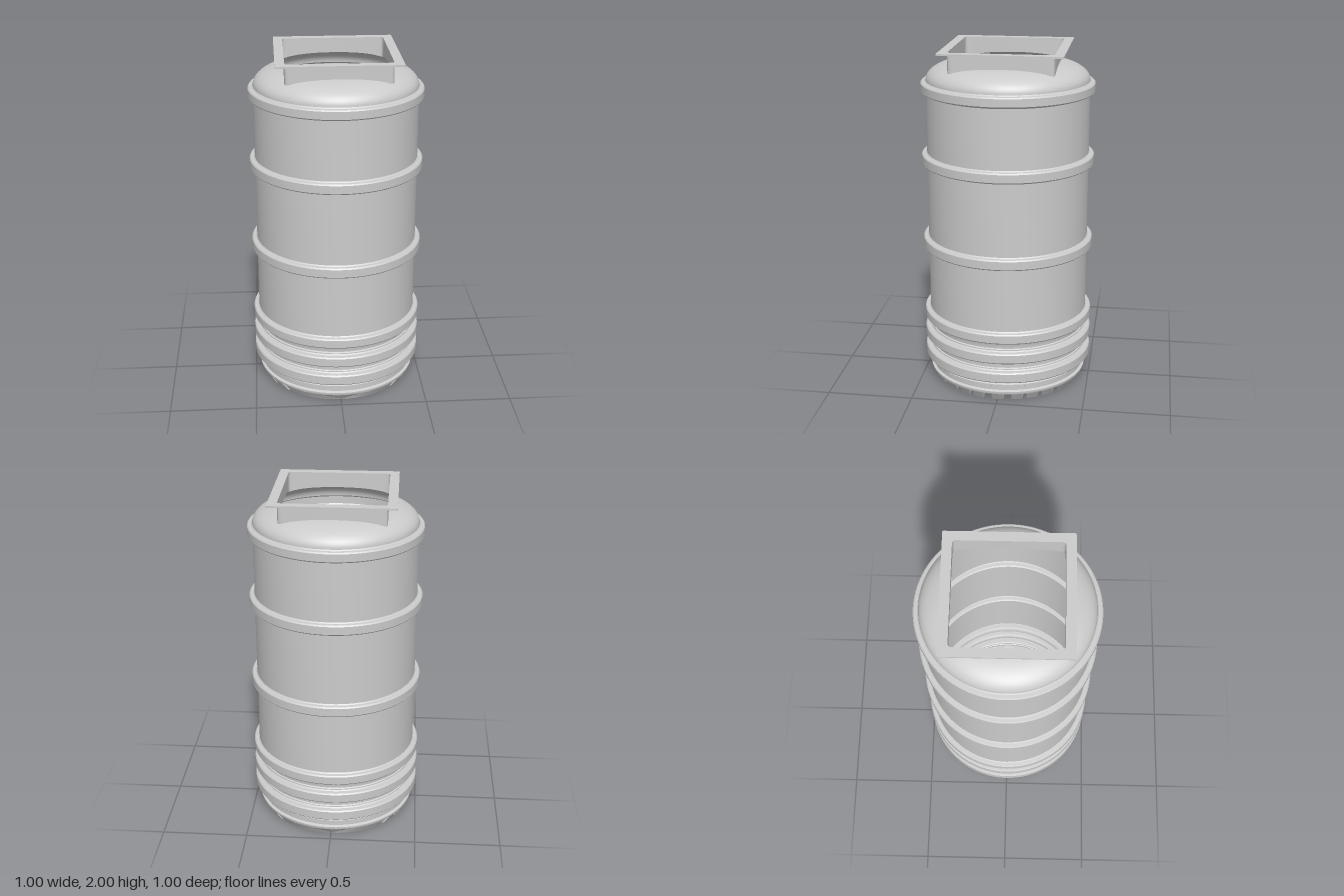
import * as THREE from 'three';
import { toCreasedNormals } from 'three/addons/utils/BufferGeometryUtils.js';

const material = new THREE.MeshStandardMaterial({ color: 0xcccccc, side: THREE.DoubleSide });

const BODY = 0.47, RING = 0.5;           // wall and hoop radii
const DOME_Y = 1.81, DOME_H = 0.113;     // dome start and rise
const FOOT_R = 0.44, FOOT_TOP_R = 0.467, FOOT_H = 0.045;

function addMesh(group, name, geometry, crease = 0.5) {
  const mesh = new THREE.Mesh(toCreasedNormals(geometry, crease), material);
  mesh.name = name;
  group.add(mesh);
  return mesh;
}

// Sheet through rows of points of equal length
function loft(rows) {
  const cols = rows[0].length, index = [];
  for (let i = 0; i < rows.length - 1; i++) {
    for (let j = 0; j < cols - 1; j++) {
      const a = i * cols + j, b = a + 1, c = a + cols, d = c + 1;
      index.push(a, b, c, b, d, c);
    }
  }
  const g = new THREE.BufferGeometry();
  g.setAttribute('position', new THREE.Float32BufferAttribute(rows.flat(2), 3));
  g.setIndex(index);
  g.computeVertexNormals();
  return g;
}

// Distance from the centre to a rounded square at a given angle
function squareRadius(angle, half, corner) {
  let a = angle % (Math.PI / 2);
  if (a > Math.PI / 4) a = Math.PI / 2 - a;
  const c = half - corner;
  if (half * Math.tan(a) <= c) return half / Math.cos(a);
  const b = c * (Math.cos(a) + Math.sin(a));
  return b + Math.sqrt(b * b - 2 * c * c + corner * corner);
}

const domeY = r => DOME_Y + DOME_H * Math.sqrt(Math.max(0, 1 - (r / BODY) ** 4));

// One closed row of points round the axis
function polarRow(radiusAt, yAt) {
  const row = [], n = 240;
  for (let j = 0; j <= n; j++) {
    const a = (j % n) / n * Math.PI * 2, r = radiusAt(a);
    row.push([r * Math.sin(a), yAt(r), r * Math.cos(a)]);
  }
  return row;
}

function roundedSquare(path, half, q) {
  const c = half - q;
  path.moveTo(-c, -half);
  path.lineTo(c, -half).quadraticCurveTo(half, -half, half, -c);
  path.lineTo(half, c).quadraticCurveTo(half, half, c, half);
  path.lineTo(-c, half).quadraticCurveTo(-half, half, -half, c);
  path.lineTo(-half, -c).quadraticCurveTo(-half, -half, -c, -half);
  return path;
}

// Hollow hoop pressed out of the wall between two heights
function hoop(y0, y1, below, above) {
  return [
    [below, y0 - 0.006], [below + 0.006, y0],
    [RING - 0.006, y0 + 0.002], [RING, y0 + 0.009],
    [RING, y1 - 0.009], [RING - 0.006, y1 - 0.002],
    [above + 0.006, y1], [above, y1 + 0.006],
  ];
}

export function createModel() {
  const tank = new THREE.Group();
  tank.name = 'tank';

  // Wall with its six hoops
  const profile = [
    [FOOT_TOP_R, FOOT_H], [BODY, 0.052], [BODY, 0.062], [0.455, 0.068],
    [0.455, 0.09], [0.462, 0.094], [0.462, 0.105], [0.452, 0.11],
    ...hoop(0.13, 0.197, 0.452, 0.465),
    [0.465, 0.208], [0.457, 0.212], [0.457, 0.235],
    ...hoop(0.25, 0.316, 0.462, 0.465),
    [0.465, 0.328], [0.457, 0.332], [0.457, 0.358],
    ...hoop(0.374, 0.437, 0.462, BODY),
    ...hoop(0.822, 0.887, BODY, BODY),
    ...hoop(1.324, 1.388, BODY, BODY),
    ...hoop(1.742, 1.804, BODY, BODY),
  ].map(([r, y]) => new THREE.Vector2(r, y));
  addMesh(tank, 'wall', new THREE.LatheGeometry(profile, 96));

  // Dome running from the round wall to the square opening
  const half = 0.297, corner = 0.022;
  const neckRadius = a => squareRadius(a, half, corner);
  const domeRows = [];
  for (let k = 0; k <= 16; k++) {
    const t = 1 - Math.cos(k / 16 * Math.PI / 2);
    domeRows.push(polarRow(a => BODY + (neckRadius(a) - BODY) * t, domeY));
  }
  addMesh(tank, 'dome', loft(domeRows));

  // Square neck whose lower edge follows the dome
  addMesh(tank, 'neck', loft([polarRow(neckRadius, domeY), polarRow(neckRadius, () => 1.992)]));

  // Flat flange round the opening
  const flangeShape = roundedSquare(new THREE.Shape(), 0.348, 0.008);
  flangeShape.holes.push(roundedSquare(new THREE.Path(), 0.295, 0.022));
  const flange = new THREE.ExtrudeGeometry(flangeShape, { depth: 0.01, bevelEnabled: false });
  flange.rotateX(-Math.PI / 2).translate(0, 1.99, 0);
  addMesh(tank, 'flange', flange);

  // Ribbed floor: grooves run across x and notch the tapered foot
  const grooves = [[0.033, 0.083], [0.143, 0.168], [0.227, 0.253], [0.311, 0.338]];
  const stations = [];
  const inGroove = z => grooves.some(([a, b]) => Math.abs(z) >= a && Math.abs(z) <= b);
  for (let k = -40; k <= 40; k++) {
    const z = FOOT_TOP_R * Math.sin(k / 40 * Math.PI / 2);
    stations.push([z, inGroove(z) ? FOOT_H : 0]);
  }
  for (const [a, b] of grooves) {
    const e = 1e-5;
    for (const s of [-1, 1]) {
      stations.push([s * (a - e), 0], [s * a, FOOT_H], [s * b, FOOT_H], [s * (b + e), 0]);
    }
  }
  stations.sort((p, q) => p[0] - q[0]);
  const slope = (FOOT_TOP_R - FOOT_R) / FOOT_H;
  const halfWidth = (y, z) => Math.sqrt(Math.max(0, (FOOT_R + slope * y) ** 2 - z * z));
  const floorRows = stations.map(([z, level]) => {
    const y = Math.max(level, (Math.abs(z) - FOOT_R) / slope);
    const top = halfWidth(FOOT_H, z), low = halfWidth(y, z);
    return [[-top, FOOT_H, z], [-low, y, z], [low, y, z], [top, FOOT_H, z]];
  });
  addMesh(tank, 'ribbedFloor', loft(floorRows));

  return tank;
}
